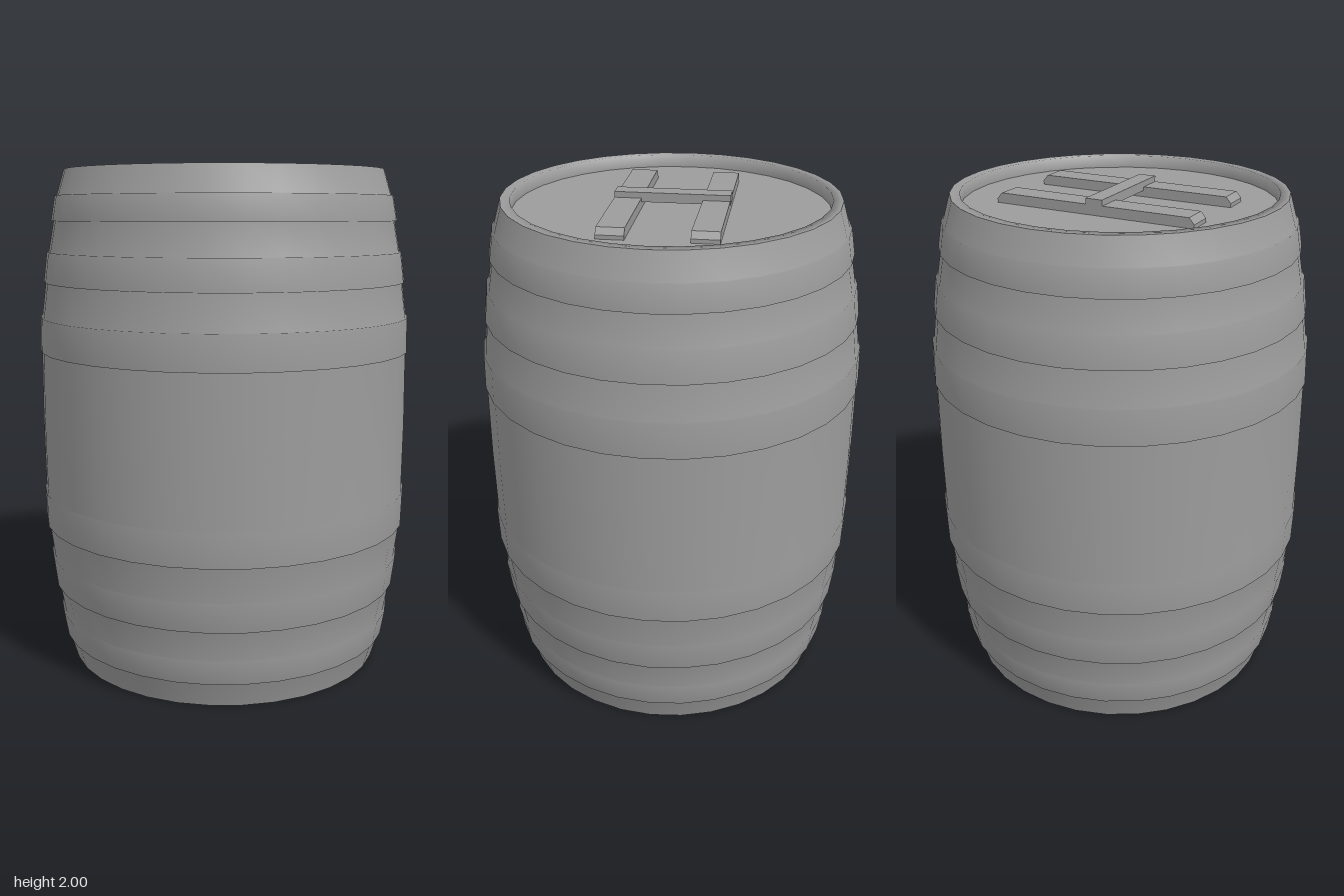
import * as THREE from 'three';
import { mergeVertices } from 'three/addons/utils/BufferGeometryUtils.js';

const SIDES = 32;
const HEIGHT = 1.99;
const WALL = 0.037;
const LID_Y = 1.94;

// Turned surface with area-weighted smooth normals, so small steps stay soft
function turned(points) {
  const geometry = new THREE.LatheGeometry(points.map(([r, y]) => new THREE.Vector2(r, y)), SIDES);
  geometry.deleteAttribute('uv');
  geometry.deleteAttribute('normal');
  const merged = mergeVertices(geometry, 1e-4);
  merged.computeVertexNormals();
  return merged;
}

export function createModel() {
  const group = new THREE.Group();
  const material = new THREE.MeshStandardMaterial({ color: 0x9c9c9c });

  const add = (name, geometry) => {
    const mesh = new THREE.Mesh(geometry, material);
    mesh.name = name;
    group.add(mesh);
    return mesh;
  };

  // Lower half of the bulging wall: staves with three raised hoops
  const lower = [
    [0.637, 0], [0.667, 0.1], [0.675, 0.101],
    [0.692, 0.199], [0.682, 0.2],
    [0.704, 0.318], [0.712, 0.319],
    [0.727, 0.437], [0.719, 0.438],
    [0.737, 0.573], [0.744, 0.574],
    [0.748, 0.709], [0.742, 0.71], [0.745, HEIGHT / 2],
  ];
  const upper = lower.slice(0, -1).reverse().map(([r, y]) => [r, HEIGHT - y]);
  const outer = [...lower, ...upper];
  add('outerWall', turned(outer));

  // Inner wall follows the outer one up to the lid; the barrel is open below
  const inner = outer.map(([r, y]) => [r - WALL, y]).reverse().filter(([, y]) => y < 1.9);
  add('innerWall', turned([[0.614, LID_Y - 0.01], ...inner]));
  add('bottomRim', turned([[0.6, 0], [0.637, 0]]));

  // Top rim running smoothly into the recess around the lid
  add('topRim', turned([[0.637, HEIGHT], [0.6, HEIGHT], [0.6, LID_Y]]));

  // Recessed lid, top and underside
  add('lidTop', turned([[0.6, LID_Y], [0, LID_Y]]));
  add('lidUnderside', turned([[0, LID_Y - 0.01], [0.614, LID_Y - 0.01]]));

  // Two lid battens with bevelled ends
  const battenShape = new THREE.Shape([
    [-0.405, 0], [0.405, 0], [0.405, 0.015], [0.385, 0.038], [-0.385, 0.038], [-0.405, 0.015],
  ].map(([x, y]) => new THREE.Vector2(x, y)));
  for (const [name, z] of [['backBatten', -0.222], ['frontBatten', 0.11]]) {
    add(name, new THREE.ExtrudeGeometry(battenShape, { depth: 0.102, bevelEnabled: false }))
      .position.set(0, LID_Y, z);
  }

  // Crosspiece over the battens
  add('crosspiece', new THREE.BoxGeometry(0.068, 0.036, 0.436)).position.set(-0.01, 1.982, -0.006);

  return group;
}
